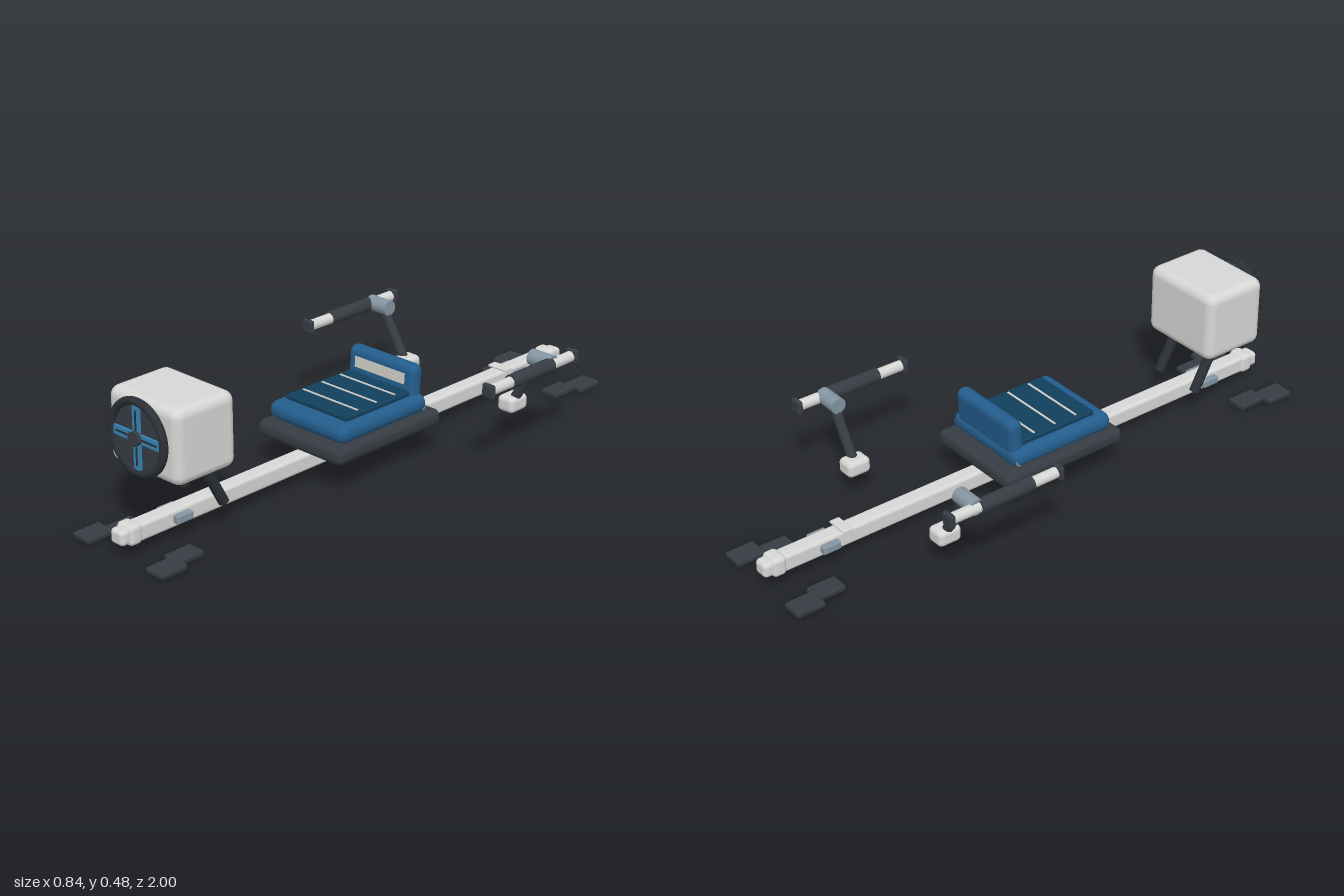
import * as THREE from 'three';
import { RoundedBoxGeometry } from 'three/addons/geometries/RoundedBoxGeometry.js';

const material = (name, color) => {
  const m = new THREE.MeshStandardMaterial({ color });
  m.name = name;
  return m;
};

export function createModel() {
  const model = new THREE.Group();
  model.name = 'rowingMachine';
  const shell = material('light grey shell', 0xd6d7d5);
  const rubber = material('dark rubber', 0x373c43);
  const black = material('charcoal', 0x2b3036);
  const blue = material('blue padding', 0x235d8c);
  const deepBlue = material('deep blue panel', 0x123f5c);
  const brightBlue = material('bright blue', 0x3686b5);
  const steel = material('blue grey steel', 0x8495a2);
  const stitch = material('pale stripe', 0xcfcdc6);

  const add = (name, geometry, mat, x, y, z, parent = model) => {
    const mesh = new THREE.Mesh(geometry, mat);
    mesh.name = name;
    mesh.position.set(x, y, z);
    parent.add(mesh);
    return mesh;
  };
  const round = (w, h, d, r) => new RoundedBoxGeometry(w, h, d, 4, r);
  const box = (w, h, d) => new THREE.BoxGeometry(w, h, d);
  // Cylinder running between two points
  const rod = (name, mat, r, from, to, parent = model) => {
    const a = new THREE.Vector3(...from), b = new THREE.Vector3(...to);
    const dir = b.clone().sub(a), mid = a.clone().add(b).multiplyScalar(0.5);
    const mesh = add(name, new THREE.CylinderGeometry(r, r, dir.length(), 28), mat, mid.x, mid.y, mid.z, parent);
    mesh.quaternion.setFromUnitVectors(new THREE.Vector3(0, 1, 0), dir.normalize());
    return mesh;
  };

  // Rail with collars, end caps, clamps and floor pads
  add('rail', round(0.056, 0.058, 1.88, 0.012), shell, 0, 0.071, 0);
  add('railStop', round(0.078, 0.009, 0.036, 0.004), shell, 0, 0.103, -0.705);
  for (const end of [-1, 1]) {
    add('railCollar', round(0.07, 0.066, 0.05, 0.016), shell, 0, 0.073, end * 0.947);
    add('railEndCap', round(0.056, 0.05, 0.045, 0.014), shell, 0, 0.073, end * 0.977);
    for (const side of [-1, 1]) {
      add('railClamp', round(0.024, 0.027, 0.064, 0.005), steel, side * 0.037, 0.073, end * 0.77);
      add('outerFootPad', round(0.075, 0.02, 0.1, 0.007), rubber, side * 0.1625, 0.014, end * 0.95);
      add('innerFootPad', round(0.067, 0.02, 0.102, 0.007), rubber, side * 0.134, 0.012, end * 0.856);
    }
  }

  // Sliding seat
  const seat = new THREE.Group();
  seat.name = 'seat';
  model.add(seat);
  add('seatBase', round(0.366, 0.055, 0.468, 0.022), rubber, 0, 0.132, 0.028, seat);
  add('seatCushion', round(0.332, 0.062, 0.392, 0.029), blue, 0, 0.189, 0.034, seat);
  add('seatPanel', round(0.268, 0.03, 0.29, 0.007), deepBlue, 0, 0.22, 0.034, seat);
  for (const z of [-0.053, 0.031, 0.115]) {
    add('seatStripe', box(0.24, 0.003, 0.007), stitch, 0, 0.236, z, seat);
  }
  const backrest = new THREE.Group();
  backrest.name = 'backrest';
  backrest.position.set(0, 0.252, -0.135);
  backrest.rotation.x = -0.08;
  seat.add(backrest);
  add('backrestPad', round(0.288, 0.13, 0.052, 0.024), blue, 0, 0, 0, backrest);
  add('backrestStripe', box(0.215, 0.036, 0.004), stitch, 0, 0.015, 0.0265, backrest);
  for (const side of [-1, 1]) {
    rod('backrestHinge', steel, 0.012, [side * 0.135, 0.18, -0.142], [side * 0.16, 0.18, -0.142], seat);
  }

  // Fan housing on two slanted struts
  add('fanHousing', round(0.304, 0.242, 0.235, 0.032), shell, 0, 0.356, 0.768);
  for (const side of [-1, 1]) {
    rod('fanStrut', black, 0.017, [side * 0.087, 0.262, 0.742], [side * 0.087, 0.1, 0.654]);
  }
  const fan = new THREE.Group();
  fan.name = 'fan';
  fan.position.set(0, 0.36, 0.885);
  model.add(fan);
  add('fanDisc', new THREE.CylinderGeometry(0.11, 0.11, 0.02, 56), rubber, 0, 0, 0.005, fan).rotation.x = Math.PI / 2;
  const rim = add('fanRim', new THREE.TorusGeometry(0.1115, 0.0125, 14, 64), black, 0, 0, 0.015, fan);
  rim.scale.z = 1.1;
  for (let i = 0; i < 4; i++) {
    const spoke = new THREE.Group();
    spoke.name = 'fanSpoke';
    spoke.rotation.z = i * Math.PI / 2;
    fan.add(spoke);
    add('spokeBlade', box(0.092, 0.03, 0.008), brightBlue, 0.059, 0, 0.018, spoke);
    add('spokeSlot', box(0.07, 0.006, 0.003), black, 0.053, 0, 0.0225, spoke);
  }
  add('fanHub', new THREE.CylinderGeometry(0.023, 0.023, 0.022, 32), rubber, 0, 0, 0.024, fan).rotation.x = Math.PI / 2;

  // Side handles, one per side
  for (const side of [-1, 1]) {
    const arm = new THREE.Group();
    arm.name = side > 0 ? 'leftHandle' : 'rightHandle';
    model.add(arm);
    const x = side * 0.396, y = 0.29, z = -0.49;
    add('handlePod', round(0.067, 0.055, 0.084, 0.017), shell, side * 0.237, 0.113, z, arm);
    rod('handleArm', rubber, 0.0165, [side * 0.241, 0.12, z], [side * 0.338, 0.28, z], arm);
    rod('handleJoint', steel, 0.0265, [side * 0.312, 0.292, z], [side * 0.4, 0.292, z], arm);
    rod('handleBar', shell, 0.018, [x, y, -0.19], [x, y, -0.588], arm);
    rod('handleGrip', rubber, 0.0235, [x, y, -0.285], [x, y, -0.482], arm);
    for (const capZ of [-0.183, -0.59]) {
      add('handleCap', round(0.047, 0.048, 0.02, 0.009), rubber, x, y, capZ, arm);
    }
  }

  return model;
}
